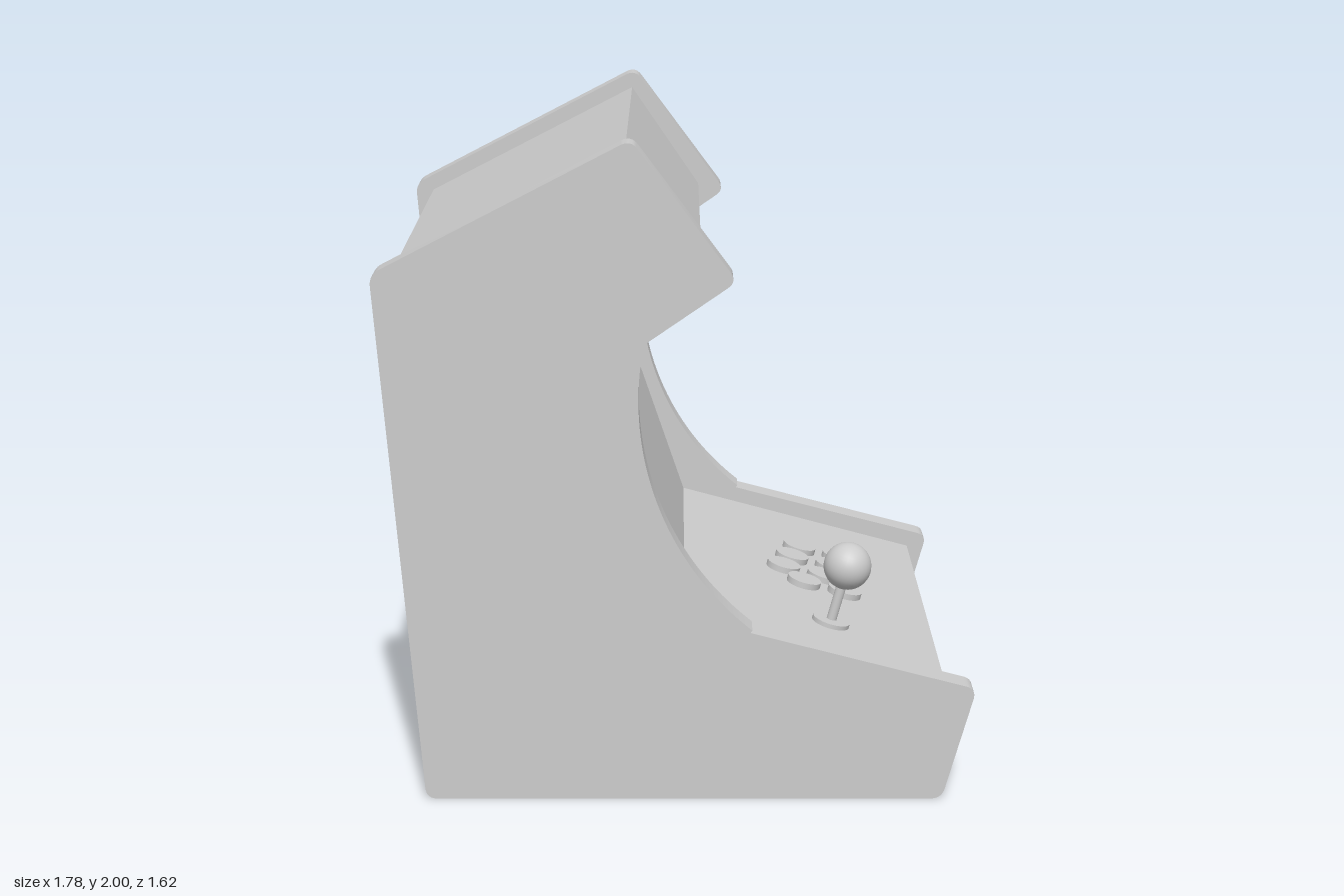
import * as THREE from 'three';
import { toCreasedNormals } from 'three/addons/utils/BufferGeometryUtils.js';

const material = new THREE.MeshStandardMaterial({ color: 0xcccccc });

function add(parent, name, geometry, x = 0, y = 0, z = 0) {
  const mesh = new THREE.Mesh(geometry, material);
  mesh.name = name;
  mesh.position.set(x, y, z);
  parent.add(mesh);
  return mesh;
}

// Extrude a profile along z, starting at z = 0
function slab(shape, depth) {
  const geometry = new THREE.ExtrudeGeometry(shape, { depth, bevelEnabled: false, curveSegments: 32 });
  return toCreasedNormals(geometry, 0.35);
}

// Round a corner of the outline, stopping a distance d from it on each side
function roundCorner(shape, before, corner, after, d) {
  const c = new THREE.Vector2(...corner);
  const a = new THREE.Vector2(...before).sub(c).setLength(d).add(c);
  const b = new THREE.Vector2(...after).sub(c).setLength(d).add(c);
  shape.lineTo(a.x, a.y);
  const curve = new THREE.QuadraticBezierCurve(a, c, b);
  curve.getPoints(8).slice(1).forEach((p) => shape.lineTo(p.x, p.y));
}

function sidePanelShape() {
  const neck = [-0.1, 1.41], elbow = [0.215, 0.53];
  const corners = [
    neck, [0.17, 1.597], [-0.135, 2.008], [-0.889, 1.617],
    [-0.762, 0], [0.797, 0], [0.894, 0.352], elbow,
  ];
  const shape = new THREE.Shape();
  shape.moveTo(...neck);
  for (let i = 1; i < corners.length - 1; i++) {
    roundCorner(shape, corners[i - 1], corners[i], corners[i + 1], 0.034);
  }
  shape.lineTo(...elbow);
  // Concave cut-out beside the screen
  const cx = 0.785, cy = 1.24, r = 0.901;
  const start = Math.atan2(elbow[1] - cy, elbow[0] - cx);
  const end = Math.atan2(neck[1] - cy, neck[0] - cx) - 2 * Math.PI;
  shape.absarc(cx, cy, r, start, end, true);
  return shape;
}

export function createModel() {
  const group = new THREE.Group();
  group.name = 'arcadeCabinet';

  // Side panels
  const panel = slab(sidePanelShape(), 0.086);
  add(group, 'leftSidePanel', panel, 0, 0, 0.719);
  add(group, 'rightSidePanel', panel, -0.01, 0, -0.81);

  // Body between the panels: hood, screen, control deck, front, base, back
  const body = new THREE.Shape([
    [-0.155, 1.95], [-0.838, 1.598], [-0.715, 0.005], [0.732, 0.005],
    [0.815, 0.315], [0.02, 0.53], [-0.27, 1.385], [0.07, 1.62],
  ].map(([x, y]) => new THREE.Vector2(x, y)));
  add(group, 'cabinetBody', slab(body, 1.436), 0, 0, -0.718);

  // Controls stand square to the sloping deck
  const slope = Math.atan2(0.53 - 0.315, 0.815 - 0.02);
  const deckY = (x) => 0.53 - Math.tan(slope) * (x - 0.02);

  const joystick = new THREE.Group();
  joystick.name = 'joystick';
  joystick.position.set(0.48, deckY(0.48), 0.36);
  joystick.rotation.z = -slope;
  group.add(joystick);
  add(joystick, 'joystickBase', new THREE.CylinderGeometry(0.06, 0.06, 0.014, 32), 0, 0.007, 0);
  add(joystick, 'joystickShaft', new THREE.CylinderGeometry(0.016, 0.016, 0.17, 20), 0, 0.085, 0);
  add(joystick, 'joystickBall', new THREE.SphereGeometry(0.075, 32, 20), 0, 0.195, 0);

  // Four pairs of buttons
  const buttons = new THREE.Group();
  buttons.name = 'buttons';
  group.add(buttons);
  const buttonGeometry = new THREE.CylinderGeometry(0.056, 0.056, 0.04, 32);
  for (const [x0, z] of [[0.41, -0.33], [0.38, -0.205], [0.347, -0.08], [0.41, 0.03]]) {
    for (const x of [x0, x0 + 0.133]) {
      add(buttons, 'button', buttonGeometry, x, deckY(x), z).rotation.z = -slope;
    }
  }
  return group;
}
